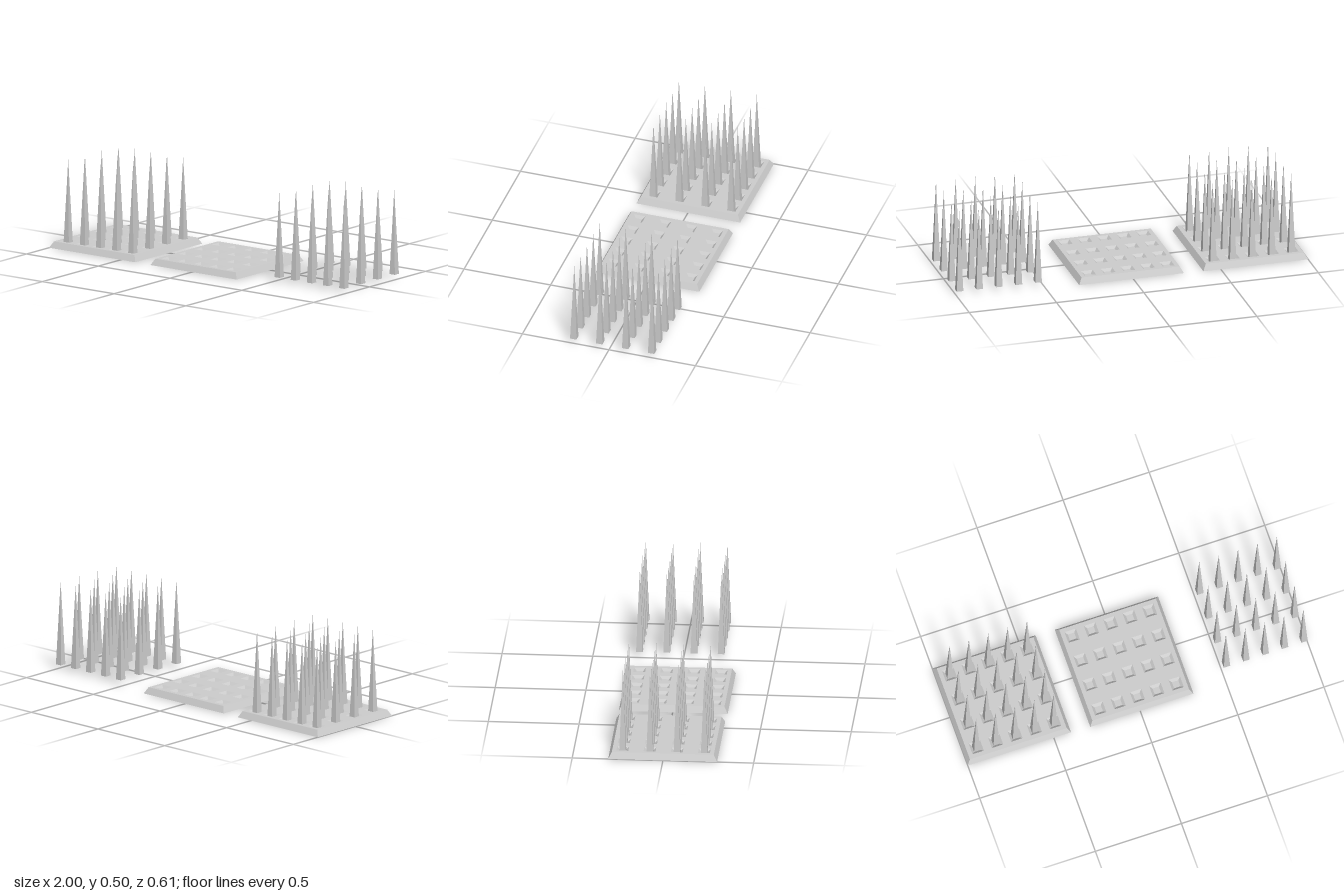
import * as THREE from 'three';

const material = new THREE.MeshStandardMaterial({ color: 0xcccccc, flatShading: true, side: THREE.DoubleSide });
const COLS = [-2, -1, 0, 1, 2].map(i => i * 0.1125);
const ROWS = [-1.5, -0.5, 0.5, 1.5].map(i => i * 0.15);
const TOP = 0.035, PIT_FLOOR = 0.021;
const PIT_HALF = 0.033, SPIKE_HALF = 0.0185, SPIKE_HEIGHT = 0.475;

function add(group, name, geometry, x = 0, y = 0, z = 0) {
  const mesh = new THREE.Mesh(geometry, material);
  mesh.name = name;
  mesh.position.set(x, y, z);
  group.add(mesh);
}

// Square tapered walls standing on y = 0, sized by half widths
function taperedWalls(topHalf, bottomHalf, height) {
  return new THREE.CylinderGeometry(topHalf * Math.SQRT2, bottomHalf * Math.SQRT2, height, 4, 1, true)
    .rotateY(Math.PI / 4).translate(0, height / 2, 0);
}

function square(PathType, half, x = 0, y = 0) {
  return new PathType([[-1, -1], [1, -1], [1, 1], [-1, 1]]
    .map(([a, b]) => new THREE.Vector2(x + a * half, y + b * half)));
}

function forEachCell(fn) {
  for (const x of COLS) for (const z of ROWS) fn(x, z);
}

// Bevelled slab with a grid of sunken square sockets
function makeBase(name) {
  const base = new THREE.Group();
  base.name = name;
  add(base, 'bevelledRim', taperedWalls(0.281, 0.3, TOP));
  add(base, 'underside', new THREE.PlaneGeometry(0.6, 0.6).rotateX(Math.PI / 2));
  const top = square(THREE.Shape, 0.281);
  forEachCell((x, z) => top.holes.push(square(THREE.Path, PIT_HALF, x, -z)));
  add(base, 'topPlate', new THREE.ShapeGeometry(top).rotateX(-Math.PI / 2), 0, TOP, 0);
  const walls = taperedWalls(PIT_HALF, SPIKE_HALF, TOP - PIT_FLOOR);
  const floor = new THREE.PlaneGeometry(2 * SPIKE_HALF, 2 * SPIKE_HALF).rotateX(-Math.PI / 2);
  forEachCell((x, z) => {
    add(base, 'socketWalls', walls, x, PIT_FLOOR, z);
    add(base, 'socketFloor', floor, x, PIT_FLOOR, z);
  });
  return base;
}

// Grid of slender four-sided spikes
function makeSpikes(name) {
  const spikes = new THREE.Group();
  spikes.name = name;
  const cone = new THREE.ConeGeometry(SPIKE_HALF * Math.SQRT2, SPIKE_HEIGHT, 4)
    .rotateY(Math.PI / 4).translate(0, SPIKE_HEIGHT / 2, 0);
  forEachCell((x, z) => add(spikes, 'spike', cone, x, 0, z));
  return spikes;
}

export function createModel() {
  const model = new THREE.Group();
  model.name = 'spikeTrap';
  const place = (part, x, y, z) => {
    part.position.set(x, y, z);
    model.add(part);
  };
  // Complete trap, then its empty base and loose spikes
  place(makeBase('armedBase'), -0.7, 0, -0.002);
  place(makeSpikes('armedSpikes'), -0.7, PIT_FLOOR, -0.002);
  place(makeBase('emptyBase'), 0.01, 0, 0.003);
  place(makeSpikes('looseSpikes'), 0.757, 0.028, -0.019);
  return model;
}
